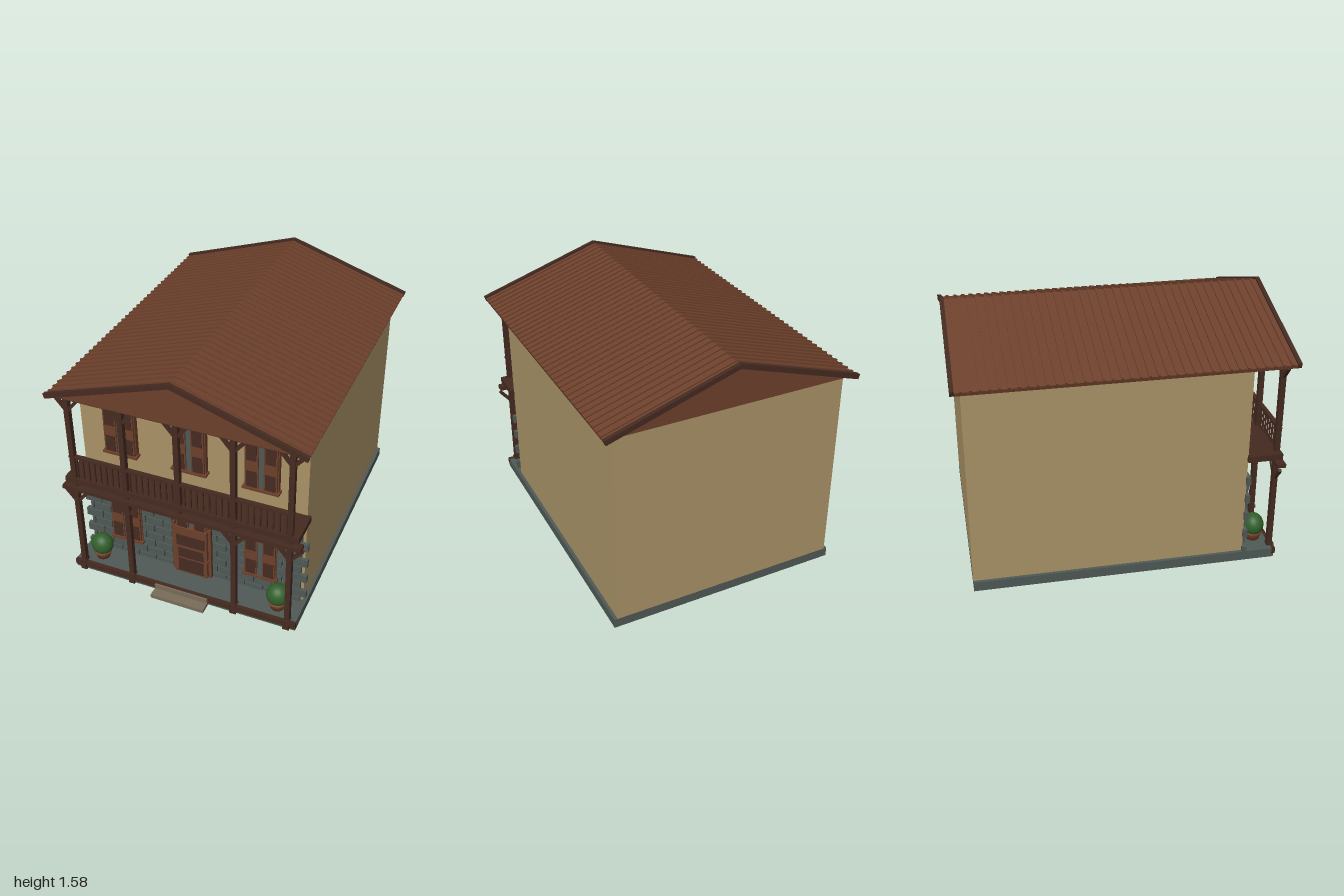
import * as THREE from 'three';

const mat = (name, color) => {
  const m = new THREE.MeshStandardMaterial({ color });
  m.name = name;
  return m;
};

export function createModel() {
  const plaster = mat('plaster', 0xa99266);
  const stone = mat('stone', 0x4f5955);
  const timber = mat('darkTimber', 0x442a20);
  const wood = mat('redBrownWood', 0x6d402b);
  const stepStone = mat('stepStone', 0x786c59);
  const clay = mat('clay', 0x81492f);
  const leaf = mat('leaf', 0x315f2b);

  const model = new THREE.Group();
  model.name = 'house';

  const group = (name, parent = model) => {
    const g = new THREE.Group();
    g.name = name;
    parent.add(g);
    return g;
  };
  const add = (parent, name, geo, material) => {
    const m = new THREE.Mesh(geo, material);
    m.name = name;
    parent.add(m);
    return m;
  };
  // Box given by its minimum and maximum on each axis
  const box = (parent, name, material, x0, x1, y0, y1, z0, z1) => {
    const m = add(parent, name, new THREE.BoxGeometry(x1 - x0, y1 - y0, z1 - z0), material);
    m.position.set((x0 + x1) / 2, (y0 + y1) / 2, (z0 + z1) / 2);
    return m;
  };
  // Outline in the front plane, extruded between two depths
  const prism = (parent, name, material, pts, z0, z1) => {
    const shape = new THREE.Shape(pts.map(([x, y]) => new THREE.Vector2(x, y)));
    const geo = new THREE.ExtrudeGeometry(shape, { depth: z1 - z0, bevelEnabled: false });
    geo.translate(0, 0, z0);
    return add(parent, name, geo, material);
  };

  // Base and walls
  box(model, 'foundation', stone, -0.735, 0.735, 0, 0.06, -0.94, 0.92);
  box(model, 'walls', plaster, -0.715, 0.715, 0.06, 1.312, -0.94, 0.72);
  box(model, 'porchEdge', timber, -0.737, 0.737, 0.022, 0.062, 0.908, 0.93);
  box(model, 'lowerStep', stepStone, -0.175, 0.175, 0, 0.025, 0.92, 1);
  box(model, 'upperStep', stepStone, -0.175, 0.175, 0.025, 0.058, 0.92, 0.94);

  // Roof: solid gable, sheet, cross ribs and end boards
  const roof = group('roof');
  const chevron = (name, material, apex, thick, half, z0, z1) => {
    const drop = 0.323 * half;
    prism(roof, name, material, [
      [0, apex], [-half, apex - drop], [-half + 0.3 * thick, apex - drop - thick],
      [0, apex - thick], [half - 0.3 * thick, apex - drop - thick], [half, apex - drop],
    ], z0, z1);
  };
  prism(roof, 'gable', wood, [[-0.76, 1.31], [0.76, 1.31], [0, 1.555]], -0.965, 0.95);
  chevron('roofSheet', wood, 1.57, 0.022, 0.78, -0.975, 0.965);
  for (let i = 0; i < 37; i++) {
    const z = -0.935 + i * 0.0515;
    chevron('roofRib', wood, 1.579, 0.016, 0.783, z - 0.007, z + 0.007);
  }
  chevron('frontEndBoard', timber, 1.584, 0.03, 0.787, 0.95, 0.973);
  chevron('backEndBoard', timber, 1.584, 0.03, 0.787, -0.997, -0.972);

  // Stone courses on the ground floor front, interrupted by the doorway
  const stones = group('stoneFacing');
  for (let row = 0; row < 9; row++) {
    const top = 0.585 - row * 0.0615;
    const bottom = Math.max(top - 0.054, 0.06);
    const start = row % 2 ? -0.675 : -0.735;
    for (let k = -1; k < 13; k++) {
      const left = start + k * 0.12;
      let x0 = Math.max(left, row % 2 ? -0.7 : -0.735);
      let x1 = Math.min(left + 0.112, row % 2 ? 0.735 : 0.705);
      if (x0 < 0 && x1 > -0.14) x1 = -0.14;
      if (x1 > 0 && x0 < 0.105) x0 = 0.105;
      if (x1 - x0 > 0.015) box(stones, 'stoneBlock', stone, x0, x1, bottom, top, 0.715, 0.742);
    }
  }

  // Shuttered windows
  const shutterWindow = (x, y) => {
    const w = group('window');
    w.position.set(x, y, 0);
    box(w, 'frame', wood, -0.103, 0.103, 0.005, 0.33, 0.715, 0.75);
    box(w, 'glass', stone, -0.018, 0.018, 0.015, 0.32, 0.75, 0.754);
    box(w, 'lintel', wood, -0.112, 0.112, 0.323, 0.34, 0.715, 0.772);
    box(w, 'sill', wood, -0.112, 0.112, 0, 0.015, 0.715, 0.772);
    for (const s of [-1, 1]) {
      const c = s * 0.057;
      box(w, 'shutter', wood, c - 0.04, c + 0.04, 0.015, 0.323, 0.75, 0.764);
      box(w, 'lowerPanel', timber, c - 0.031, c + 0.031, 0.022, 0.13, 0.762, 0.768);
      box(w, 'upperPanel', timber, c - 0.031, c + 0.031, 0.205, 0.31, 0.762, 0.768);
    }
  };
  for (const x of [-0.445, 0, 0.445]) {
    shutterWindow(x, 0.85);
    shutterWindow(x, 0.185);
  }

  // Front door
  const door = group('door');
  box(door, 'doorFrame', timber, -0.13, 0.13, 0.06, 0.45, 0.715, 0.748);
  box(door, 'doorLeaf', wood, -0.107, 0.107, 0.06, 0.425, 0.748, 0.776);
  box(door, 'topPanel', timber, -0.093, 0.093, 0.285, 0.365, 0.774, 0.78);
  for (const s of [-1, 1]) {
    box(door, 'jamb', wood, s * 0.12 - 0.009, s * 0.12 + 0.009, 0.06, 0.445, 0.745, 0.762);
  }
  box(door, 'lowerPanel', timber, -0.083, 0.083, 0.075, 0.175, 0.774, 0.78);
  box(door, 'middlePanel', timber, -0.083, 0.083, 0.19, 0.262, 0.774, 0.78);

  // Porch posts with slanted braces
  const porch = group('porch');
  const braces = (x, y) => {
    for (const s of [-1, 1]) {
      const b = add(porch, 'brace', new THREE.BoxGeometry(0.02, 0.115, 0.02), timber);
      b.position.set(x + s * 0.04, y, 0.907);
      b.rotation.z = -s * 0.69;
    }
  };
  for (const x of [-0.68, -0.34, 0, 0.34, 0.68]) {
    box(porch, 'post', timber, x - 0.016, x + 0.016, x ? 0 : 0.64, 1.315, 0.89, 0.922);
    braces(x, 1.25);
    if (x) {
      braces(x, 0.585);
      box(porch, 'postFoot', timber, x - 0.02, x + 0.02, 0, 0.07, 0.887, 0.934);
    }
  }
  box(porch, 'topBeam', timber, -0.735, 0.735, 1.303, 1.33, 0.89, 0.945);
  box(porch, 'lowerBeam', timber, -0.755, 0.755, 0.643, 0.667, 0.89, 0.945);

  // Balcony floor and railing
  const balcony = group('balcony');
  box(balcony, 'deck', timber, -0.737, 0.737, 0.69, 0.728, 0.715, 0.928);
  box(balcony, 'handrail', timber, -0.7, 0.7, 0.872, 0.887, 0.895, 0.922);
  for (let i = 0; i < 37; i++) {
    const x = -0.693 + i * 0.0385;
    box(balcony, 'baluster', timber, x - 0.0045, x + 0.0045, 0.725, 0.875, 0.904, 0.914);
  }

  // Potted shrubs
  for (const s of [-1, 1]) {
    const plant = group('pottedShrub');
    plant.position.set(s * 0.59, 0.06, 0.83);
    const profile = [[0, 0], [0.042, 0], [0.05, 0.04], [0.056, 0.04], [0.056, 0.055], [0, 0.055]];
    add(plant, 'pot', new THREE.LatheGeometry(profile.map(([r, y]) => new THREE.Vector2(r, y)), 20), clay);
    const bush = add(plant, 'shrub', new THREE.SphereGeometry(1, 24, 16), leaf);
    bush.scale.set(0.071, 0.073, 0.064);
    bush.position.y = 0.1;
  }

  return model;
}
